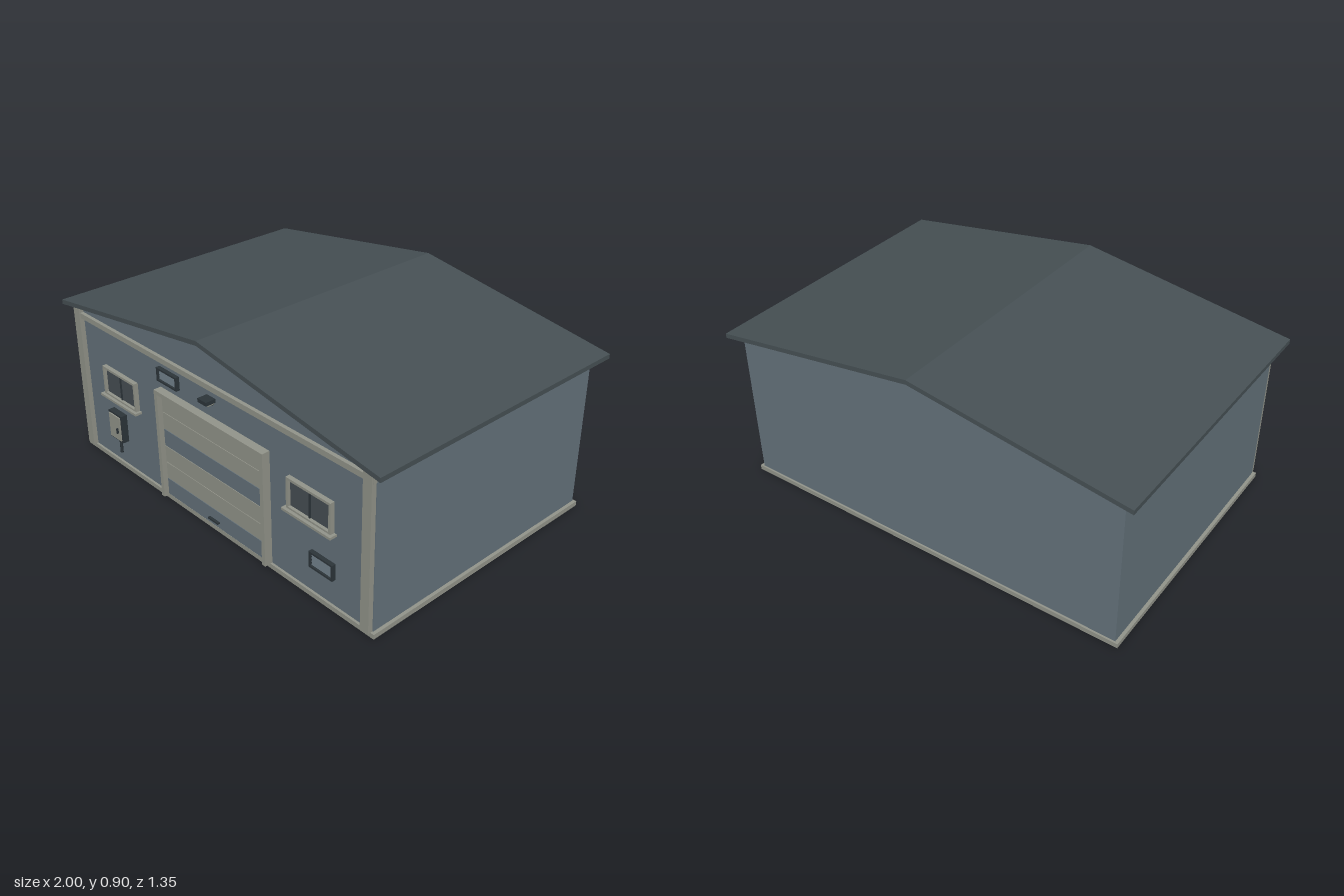
import * as THREE from 'three';

const mat = (name, color) => {
  const m = new THREE.MeshStandardMaterial({ color });
  m.name = name;
  return m;
};

export function createModel() {
  const root = new THREE.Group();
  root.name = 'garage';
  const wall = mat('blue grey cladding', 0x64727b);
  const trim = mat('pale trim', 0x92948a);
  const roofMat = mat('dark roof', 0x465054);
  const dark = mat('dark metal', 0x2c3439);
  const glass = mat('window glass', 0x474e54);
  const FRONT = 0.625;

  // Box given by its limits on each axis
  const box = (parent, name, material, x0, x1, y0, y1, z0, z1) => {
    const mesh = new THREE.Mesh(new THREE.BoxGeometry(x1 - x0, y1 - y0, z1 - z0), material);
    mesh.position.set((x0 + x1) / 2, (y0 + y1) / 2, (z0 + z1) / 2);
    mesh.name = name;
    parent.add(mesh);
    return mesh;
  };
  const group = (name) => {
    const g = new THREE.Group();
    g.name = name;
    root.add(g);
    return g;
  };
  // Outline in x and y pushed along z
  const extrude = (name, material, points, z0, z1) => {
    const shape = new THREE.Shape(points.map(([x, y]) => new THREE.Vector2(x, y)));
    const mesh = new THREE.Mesh(new THREE.ExtrudeGeometry(shape, { depth: z1 - z0, bevelEnabled: false }), material);
    mesh.position.z = z0;
    mesh.name = name;
    root.add(mesh);
  };
  // Rectangular ring of four bars
  const ring = (parent, name, material, x0, x1, y0, y1, t, z1) => {
    box(parent, name + 'Left', material, x0, x0 + t, y0, y1, FRONT, z1);
    box(parent, name + 'Right', material, x1 - t, x1, y0, y1, FRONT, z1);
    box(parent, name + 'Top', material, x0 + t, x1 - t, y1 - t, y1, FRONT, z1);
    box(parent, name + 'Bottom', material, x0 + t, x1 - t, y0, y0 + t, FRONT, z1);
  };

  // Shell: slab, gabled walls and roof
  box(root, 'foundation', trim, -0.96, 0.96, 0, 0.022, -0.634, 0.636);
  extrude('walls', wall, [[-0.945, 0.02], [0.945, 0.02], [0.945, 0.737], [0, 0.88], [-0.945, 0.737]], -FRONT, FRONT);
  extrude('roof', roofMat, [[-1, 0.728], [0, 0.878], [1, 0.728], [1, 0.749], [0, 0.899], [-1, 0.749]], -0.672, 0.668);

  // Front posts and tie beam
  for (const s of [-1, 1]) {
    const x = s * 0.92;
    box(root, 'cornerPost', trim, x - 0.022, x + 0.022, 0.022, 0.73, FRONT, 0.648);
  }
  box(root, 'tieBeam', trim, -0.945, 0.945, 0.683, 0.708, FRONT, 0.642);

  // Sectional door: six panels with thin dark seams
  const door = group('garageDoor');
  box(door, 'jambLeft', trim, -0.328, -0.308, 0.02, 0.553, FRONT, 0.663);
  box(door, 'jambRight', trim, 0.355, 0.375, 0.02, 0.553, FRONT, 0.663);
  box(door, 'header', trim, -0.308, 0.355, 0.535, 0.553, FRONT, 0.663);
  box(door, 'seamBacking', dark, -0.308, 0.355, 0.022, 0.535, FRONT, 0.632);
  const panelColours = [wall, trim, trim, wall, trim, trim];
  const step = 0.0838;
  panelColours.forEach((material, i) => {
    const y = 0.026 + i * step;
    box(door, 'doorPanel', material, -0.306, 0.353, y + 0.002, y + step - 0.001, FRONT, 0.64);
  });
  box(door, 'doorHandle', dark, -0.01, 0.055, 0.052, 0.06, 0.64, 0.652);

  // Paired windows with sills
  for (const cx of [-0.628, 0.612]) {
    const win = group('window');
    ring(win, 'frame', trim, cx - 0.123, cx + 0.123, 0.358, 0.5, 0.011, 0.646);
    box(win, 'glass', glass, cx - 0.113, cx + 0.113, 0.368, 0.49, FRONT, 0.632);
    box(win, 'mullion', dark, cx - 0.003, cx + 0.003, 0.368, 0.49, FRONT, 0.638);
    box(win, 'sill', trim, cx - 0.136, cx + 0.136, 0.35, 0.361, FRONT, 0.66);
  }

  // Louvred vents
  for (const [x0, x1, y0, y1] of [[-0.326, -0.19, 0.59, 0.653], [0.613, 0.743, 0.147, 0.221]]) {
    const vent = group('vent');
    ring(vent, 'ventFrame', dark, x0, x1, y0, y1, 0.008, 0.644);
    for (let i = 0; i < 4; i++) {
      const h = (y1 - y0 - 0.016) / 4;
      const slat = box(vent, 'slat', wall, x0 + 0.008, x1 - 0.008, y0 + 0.008 + i * h, y0 + 0.008 + (i + 1) * h, 0.63, 0.634);
      slat.rotation.x = -0.35;
    }
  }

  // Meter cabinet with conduit
  const cabinet = group('meterCabinet');
  box(cabinet, 'cabinetBody', dark, -0.72, -0.62, 0.153, 0.291, FRONT, 0.656);
  box(cabinet, 'cabinetDoor', trim, -0.711, -0.629, 0.162, 0.282, 0.656, 0.662);
  box(cabinet, 'cabinetLatch', dark, -0.649, -0.641, 0.2, 0.225, 0.662, 0.67);
  const conduit = new THREE.Mesh(new THREE.CylinderGeometry(0.007, 0.007, 0.08, 12), dark);
  conduit.position.set(-0.674, 0.114, 0.635);
  conduit.name = 'conduit';
  cabinet.add(conduit);

  // Lamp above the door
  const lamp = group('doorLamp');
  box(lamp, 'lampBracket', dark, 0.005, 0.04, 0.617, 0.64, FRONT, 0.64);
  box(lamp, 'lampHood', dark, -0.005, 0.05, 0.63, 0.647, FRONT, 0.673);
  box(lamp, 'lampLens', trim, 0.002, 0.043, 0.621, 0.63, FRONT, 0.66);

  return root;
}
